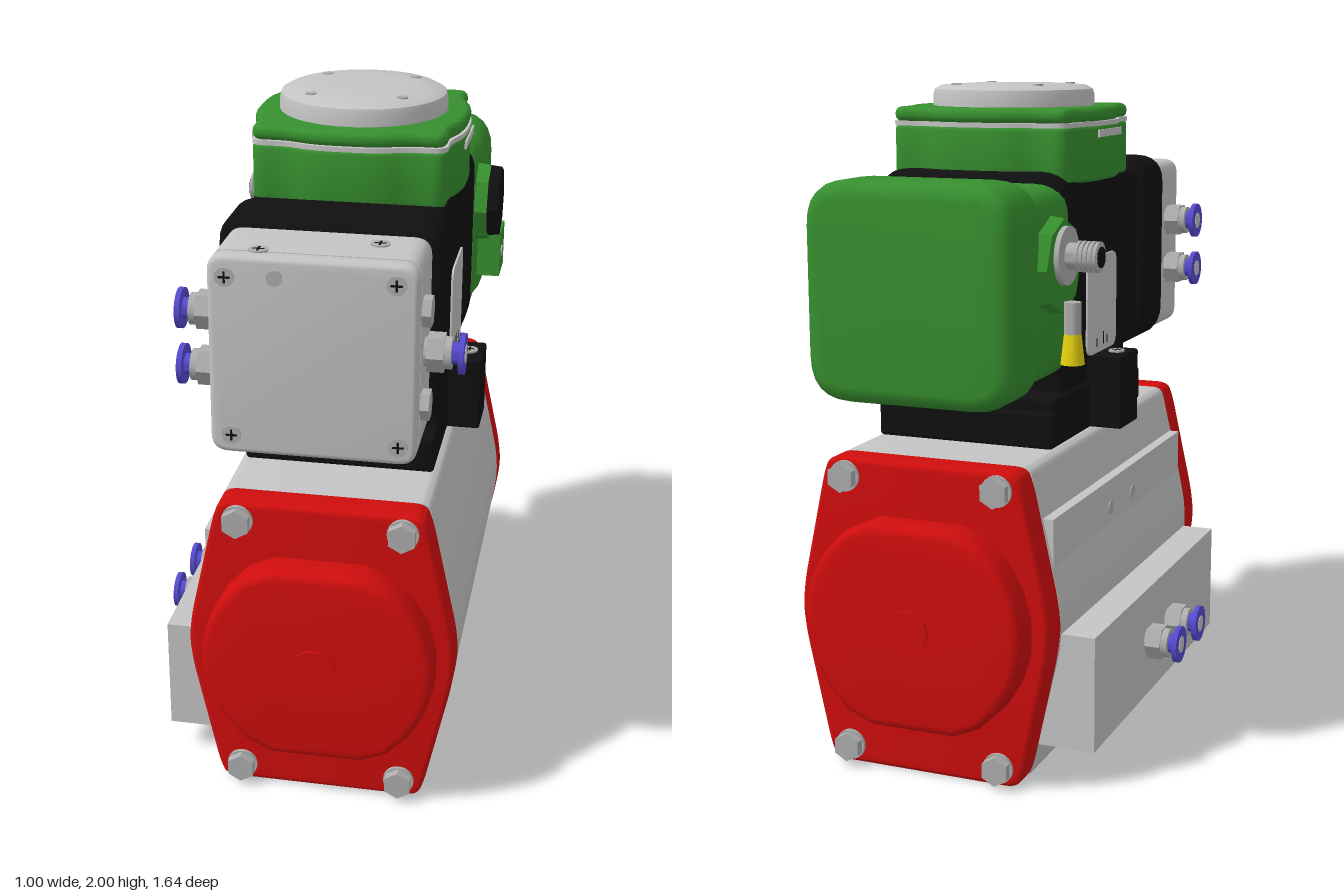
import * as THREE from 'three';
import { toCreasedNormals } from 'three/addons/utils/BufferGeometryUtils.js';
import { RoundedBoxGeometry } from 'three/addons/geometries/RoundedBoxGeometry.js';

const CX = 0.105; // centre line of the machine
const material = (name, color) => Object.assign(new THREE.MeshStandardMaterial({ color }), { name });
const M = {
  red: material('red paint', 0xd00d0d),
  grey: material('light grey metal', 0xc4c4c4),
  steel: material('steel', 0xadadad),
  green: material('green paint', 0x37902f),
  black: material('black plastic', 0x101010),
  blue: material('blue plastic', 0x554ad0),
  yellow: material('yellow plastic', 0xf0dc10),
};

// Closed polygon with corners rounded by r
function roundShape(pts, r) {
  const s = new THREE.Shape(), v = pts.map(p => new THREE.Vector2(...p)), n = v.length;
  const toward = (a, b) => a.clone().lerp(b, Math.min(0.45, r / a.distanceTo(b)));
  v.forEach((p, i) => {
    const a = toward(p, v[(i + n - 1) % n]), b = toward(p, v[(i + 1) % n]);
    if (i === 0) s.moveTo(a.x, a.y); else s.lineTo(a.x, a.y);
    s.quadraticCurveTo(p.x, p.y, b.x, b.y);
  });
  s.closePath();
  return s;
}

// Extrusion from z0 to z1 whose bevel stays inside the outline
function extrude(shape, z0, z1, bevel = 0) {
  const g = new THREE.ExtrudeGeometry(shape, {
    depth: z1 - z0 - 2 * bevel, bevelEnabled: bevel > 0, bevelSize: bevel,
    bevelThickness: bevel, bevelOffset: -bevel, bevelSegments: 3, curveSegments: 6,
  });
  g.translate(0, 0, z0 + bevel);
  return toCreasedNormals(g, 0.6);
}

const rect = (x0, x1, y0, y1) => [[x0, y0], [x1, y0], [x1, y1], [x0, y1]];

function box(x0, x1, y0, y1, z0, z1, r = 0) {
  const s = [x1 - x0, y1 - y0, z1 - z0];
  const g = r ? new RoundedBoxGeometry(...s, 3, r) : new THREE.BoxGeometry(...s);
  return g.translate((x0 + x1) / 2, (y0 + y1) / 2, (z0 + z1) / 2);
}

// Cylinder from a start point along a signed axis such as '+x'
function rod(axis, [x, y, z], length, r, sides = 24, rEnd = r) {
  const g = new THREE.CylinderGeometry(rEnd, r, length, sides).translate(0, length / 2, 0);
  const d = axis[0] === '-' ? -1 : 1;
  const dir = new THREE.Vector3(axis[1] === 'x' ? d : 0, axis[1] === 'y' ? d : 0, axis[1] === 'z' ? d : 0);
  g.applyQuaternion(new THREE.Quaternion().setFromUnitVectors(new THREE.Vector3(0, 1, 0), dir));
  return toCreasedNormals(g, 0.6).translate(x, y, z);
}

function add(parent, name, geo, mat) {
  const m = new THREE.Mesh(geo, mat);
  m.name = name;
  parent.add(m);
  return m;
}

function group(parent, name) {
  const g = new THREE.Group();
  g.name = name;
  parent.add(g);
  return g;
}

// Cross-head screw facing +z
function screw(parent, x, y, z, r = 0.027) {
  const g = group(parent, 'screw');
  add(g, 'screwHead', rod('+z', [0, 0, -0.01], 0.016, r, 20), M.steel);
  add(g, 'screwSlot', box(-r * 0.6, r * 0.6, -0.003, 0.003, 0, 0.007), M.black);
  add(g, 'screwSlot', box(-0.003, 0.003, -r * 0.6, r * 0.6, 0, 0.007), M.black);
  g.position.set(x, y, z);
  return g;
}

// Push-in hose fitting, pointing to +x (side 1) or -x (side -1)
function fitting(parent, x, y, z, side) {
  const g = group(parent, 'hoseFitting');
  add(g, 'fittingBase', rod('+x', [-0.02, 0, 0], 0.03, 0.04), M.steel);
  add(g, 'fittingNut', rod('+x', [0.008, 0, 0], 0.047, 0.056, 6), M.steel);
  add(g, 'fittingCollar', rod('+x', [0.05, 0, 0], 0.025, 0.045), M.steel);
  add(g, 'releaseNeck', rod('+x', [0.07, 0, 0], 0.03, 0.03), M.blue);
  add(g, 'releaseRing', rod('+x', [0.095, 0, 0], 0.015, 0.057), M.blue);
  add(g, 'hoseOpening', rod('+x', [0.106, 0, 0], 0.006, 0.026), M.grey);
  g.position.set(x, y, z);
  if (side < 0) g.rotation.y = Math.PI;
}

function actuator(root) {
  const g = group(root, 'actuator');
  // Barrel: right flank from bottom to top, then mirrored
  const flank = [[0.315, 0.08], [0.365, 0.3], [0.388, 0.4], [0.394, 0.475], [0.388, 0.55], [0.365, 0.66], [0.3, 0.94]];
  const outline = f => [...f.map(([x, y]) => [CX + x, y]), ...[...f].reverse().map(([x, y]) => [CX - x, y])];
  add(g, 'barrel', extrude(roundShape(outline(flank), 0.03), -0.61, 0.61), M.grey);
  // Floor plate with the shaft bore, widening upward to meet the barrel
  const floor = new THREE.Shape(rect(-0.295, 0.295, -0.61, 0.61).map(p => new THREE.Vector2(...p)));
  floor.holes.push(new THREE.Path().absarc(0, 0, 0.13, 0, Math.PI * 2, true));
  const fg = new THREE.ExtrudeGeometry(floor, { depth: 0.1, bevelEnabled: false, curveSegments: 24 }).rotateX(-Math.PI / 2);
  const p = fg.attributes.position;
  for (let i = 0; i < p.count; i++) if (Math.abs(p.getX(i)) > 0.2) p.setX(i, p.getX(i) * (1 + p.getY(i) * 0.8));
  fg.translate(CX, 0.003, 0);
  add(g, 'barrelFloor', toCreasedNormals(fg, 0.6), M.grey);
  // Side rail and port block
  add(g, 'sideRail', box(-0.262, 0, 0.44, 0.79, -0.6, 0.6), M.grey);
  add(g, 'portBlock', box(-0.39, -0.15, 0.1, 0.45, -0.6, 0.6), M.grey);
  for (const z of [-0.11, 0.1]) {
    fitting(g, -0.39, 0.28, z, -1);
    add(g, 'railHole', rod('-x', [-0.26, 0.7, z], 0.005, 0.02), M.steel);
  }
  // End caps, mirrored front and back
  const capFlank = [[0.295, 0], [0.315, 0.05], [0.388, 0.39], [0.398, 0.475], [0.388, 0.56], [0.315, 0.89], [0.295, 0.943]];
  const dome = [];
  for (let i = 0; i < 24; i++) {
    const a = (i + 0.5) / 24 * Math.PI * 2;
    dome.push([CX + 0.005 + 0.342 * Math.cos(a), 0.475 + THREE.MathUtils.clamp(0.342 * Math.sin(a), -0.305, 0.305)]);
  }
  for (const s of [1, -1]) {
    const cap = group(g, s > 0 ? 'frontEndCap' : 'backEndCap');
    add(cap, 'capPlate', extrude(roundShape(outline(capFlank), 0.04), 0.605, 0.71, 0.015), M.red);
    add(cap, 'capDome', extrude(new THREE.Shape(dome.map(q => new THREE.Vector2(...q))), 0.68, 0.81, 0.025), M.red);
    add(cap, 'capBoss', rod('+z', [CX, 0.475, 0.8], 0.018, 0.065, 32), M.red);
    for (const x of [-0.24, 0.24]) for (const y of [0.058, 0.89]) {
      add(cap, 'boltWasher', rod('+z', [CX + x, y, 0.7], 0.02, 0.046), M.steel);
      add(cap, 'boltHead', rod('+z', [CX + x, y, 0.71], 0.037, 0.044, 6), M.steel);
    }
    if (s < 0) { cap.rotation.y = Math.PI; cap.position.x = 2 * CX; }
  }
}

function controlBox(root) {
  const g = group(root, 'controlBox');
  // Mounting bracket
  add(g, 'bracketBase', box(-0.18, 0.39, 0.94, 1.05, -0.4, 0.41, 0.012), M.black);
  add(g, 'bracketNeck', box(-0.17, 0.38, 1.0, 1.2, -0.28, 0.28, 0.02), M.black);
  add(g, 'bracketStep', box(-0.18, 0.39, 1.0, 1.09, -0.375, 0.31, 0.015), M.black);
  add(g, 'bracketEars', box(-0.285, 0.49, 0.945, 1.175, -0.08, 0.08, 0.008), M.black);
  for (const x of [-0.24, 0.445]) screw(g, x, 1.175, 0, 0.025).rotation.x = -Math.PI / 2;
  // Black housing with thicker collars at both ends
  add(g, 'housing', box(-0.185, 0.395, 1.15, 1.72, -0.33, 0.57, 0.03), M.black);
  add(g, 'frontCollar', extrude(roundShape(rect(-0.212, 0.422, 1.15, 1.75), 0.09), 0.34, 0.57, 0.04), M.black);
  add(g, 'backCollar', extrude(roundShape(rect(-0.19, 0.41, 1.15, 1.75), 0.09), -0.345, -0.18, 0.03), M.black);
  // Label plates on both sides
  for (const s of [1, -1]) {
    const plate = extrude(roundShape(rect(-0.132, 0.132, 1.175, 1.478), 0.04), 0, 0.008);
    plate.rotateY(s * Math.PI / 2).translate(s > 0 ? 0.393 : -0.183, 0, 0);
    add(g, 'labelPlate', plate, M.grey);
    for (const z of [-0.05, 0.01, 0.045]) {
      const x = s > 0 ? 0.401 : -0.191;
      add(g, 'scaleMark', box(x - 0.002, x + 0.002, 1.195, z === 0.01 ? 1.235 : 1.22, z - 0.002, z + 0.002), M.black);
    }
  }
}

function valveBlock(root) {
  const g = group(root, 'valveBlock');
  add(g, 'valveBody', extrude(roundShape(rect(-0.18, 0.39, 1.15, 1.72), 0.05), 0.565, 0.76), M.grey);
  add(g, 'valveCover', extrude(roundShape(rect(-0.18, 0.39, 1.15, 1.72), 0.05), 0.752, 0.81, 0.015), M.grey);
  for (const [x, y] of [[-0.13, 1.66], [0.33, 1.665], [-0.12, 1.205], [0.34, 1.205]]) screw(g, x, y, 0.808);
  add(g, 'plug', rod('+z', [0.005, 1.665, 0.8], 0.015, 0.022), M.steel);
  for (const [x, z] of [[-0.05, 0.75], [0.26, 0.645]]) screw(g, x, 1.718, z).rotation.x = -Math.PI / 2;
  for (const y of [1.3, 1.57]) add(g, 'sidePlug', rod('+x', [0.38, y, 0.725], 0.035, 0.044, 6), M.steel);
  fitting(g, 0.39, 1.435, 0.675, 1);
  for (const y of [1.355, 1.52]) fitting(g, -0.18, y, 0.69, -1);
}

function solenoidHousing(root) {
  const g = group(root, 'solenoidHousing');
  add(g, 'housingNeck', extrude(roundShape(rect(-0.2, 0.41, 1.15, 1.72), 0.1), -0.6, -0.325), M.green);
  add(g, 'housingBack', extrude(roundShape(rect(-0.212, 0.422, 1.12, 1.75), 0.13), -0.79, -0.55, 0.045), M.green);
  // Side bosses
  add(g, 'leftBoss', rod('+x', [0.36, 1.52, -0.46], 0.09, 0.135, 8, 0.125), M.green);
  add(g, 'blackCap', rod('+x', [0.43, 1.525, -0.46], 0.055, 0.122, 8, 0.115), M.black);
  add(g, 'earthBlock', box(0.36, 0.485, 1.25, 1.4, -0.645, -0.5), M.green);
  add(g, 'earthScrew', rod('+x', [0.48, 1.325, -0.55], 0.009, 0.02), M.steel);
  add(g, 'rightBoss', rod('-x', [-0.15, 1.5, -0.46], 0.09, 0.15, 8, 0.135), M.green);
  // Threaded connector with yellow tag
  add(g, 'connectorFlange', rod('-x', [-0.23, 1.53, -0.46], 0.025, 0.085), M.steel);
  add(g, 'connectorStem', rod('-x', [-0.25, 1.53, -0.46], 0.1, 0.038), M.steel);
  for (let i = 0; i < 5; i++) add(g, 'connectorThread', rod('-x', [-0.285 - i * 0.014, 1.53, -0.46], 0.008, 0.045), M.steel);
  add(g, 'connectorOpening', rod('-x', [-0.35, 1.53, -0.46], 0.004, 0.03), M.black);
  add(g, 'yellowStem', rod('-y', [-0.27, 1.4, -0.47], 0.12, 0.025), M.steel);
  add(g, 'yellowPlug', rod('-y', [-0.27, 1.31, -0.47], 0.09, 0.025, 16, 0.035), M.yellow);
}

function lid(root) {
  const g = group(root, 'indicatorLid');
  // One side of the outline, turned four times
  const side = [[0.28, -0.18], [0.315, -0.09], [0.315, 0.09], [0.28, 0.18], [0.285, 0.285]];
  const pts = (k) => [0, 1, 2, 3].flatMap(i => side.map(([x, y]) => {
    const a = i * Math.PI / 2, c = Math.cos(a), s = Math.sin(a);
    return [k * (x * c - y * s), k * (x * s + y * c)];
  }));
  const slab = (name, k, y0, y1, bevel, mat) =>
    add(g, name, extrude(roundShape(pts(k), 0.07), y0, y1, bevel).rotateX(-Math.PI / 2).translate(CX, 0, 0), mat);
  slab('lidBase', 1, 1.71, 1.88, 0.015, M.green);
  slab('lidSeam', 1.005, 1.876, 1.89, 0, M.grey);
  slab('lidTop', 1, 1.888, 1.932, 0.018, M.green);
  for (const x of [CX - 0.317, CX + 0.317]) add(g, 'lidStrip', box(x - 0.003, x + 0.003, 1.843, 1.865, -0.1, 0.1), M.grey);
  // Round indicator dome
  const profile = [[0.25, 1.92], [0.25, 1.965], [0.245, 1.982], [0.225, 1.993], [0.15, 1.998], [0, 2]]
    .map(p => new THREE.Vector2(...p));
  add(g, 'indicatorDome', toCreasedNormals(new THREE.LatheGeometry(profile, 48), 0.6).translate(CX, 0, 0), M.grey);
  for (let i = 0; i < 4; i++) {
    const a = (i + 0.5) * Math.PI / 2;
    add(g, 'domeScrew', rod('+y', [CX + 0.19 * Math.cos(a), 1.99, 0.19 * Math.sin(a)], 0.009, 0.016, 12), M.steel);
  }
}

export function createModel() {
  const root = new THREE.Group();
  root.name = 'valveActuator';
  for (const part of [actuator, controlBox, valveBlock, solenoidHousing, lid]) part(root);
  return root;
}
